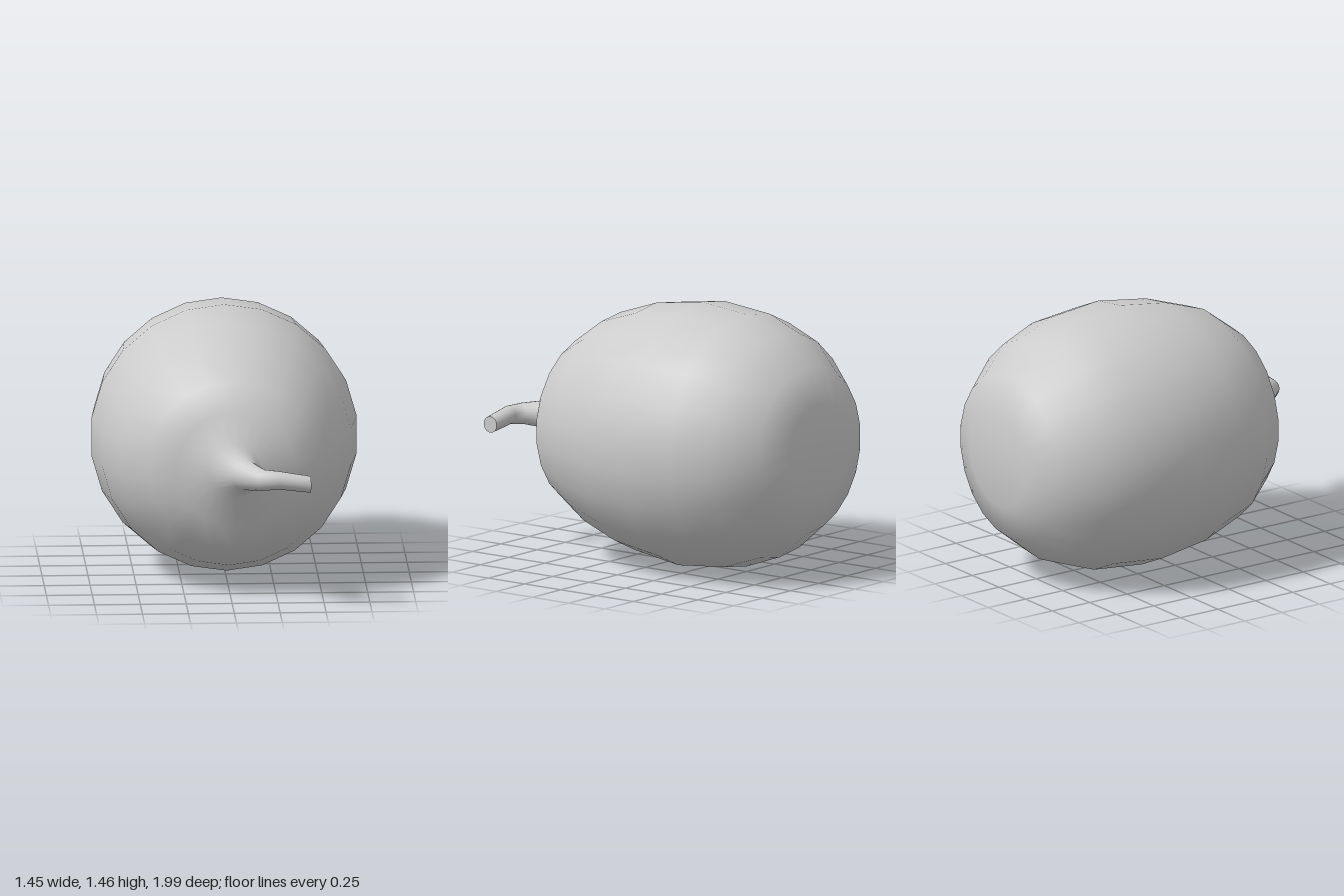
import * as THREE from 'three';

const SIDES = 22;

// Cross-sections from back to stem tip: [x, y, z, radius, yaw towards +x]
const RINGS = [
  [0, 0.73, -1.0, 0, 0],
  [0, 0.73, -1.0, 0.265, 0],
  [0, 0.73, -0.93, 0.46, 0],
  [0, 0.73, -0.73, 0.62, 0],
  [0, 0.73, -0.505, 0.70, 0],
  [0, 0.73, -0.19, 0.73, 0],
  [0, 0.73, 0.12, 0.685, 0],
  [0, 0.73, 0.37, 0.60, 0],
  [0.02, 0.72, 0.56, 0.47, -0.02],
  [0.025, 0.72, 0.65, 0.325, -0.08],
  // flare where the body draws out into the stem
  [0.02, 0.72, 0.685, 0.15, -0.11],
  [0.075, 0.72, 0.79, 0.081, 0.38],
  // bend and straight end of the stem
  [0.16, 0.722, 0.92, 0.058, 1.03],
  [0.25, 0.725, 0.945, 0.05, 1.57],
  [0.42, 0.70, 0.94, 0.045, 1.57],
  // repeated ring keeps the cut end crisp
  [0.42, 0.70, 0.94, 0.045, 1.57],
  [0.42, 0.70, 0.94, 0, 1.57],
];

// Skins the rings into one smooth closed surface
function loft(rings, sides) {
  const positions = [];
  const indices = [];
  rings.forEach(([x, y, z, r, yaw], i) => {
    for (let j = 0; j < sides; j++) {
      const a = (j / sides) * Math.PI * 2;
      const across = r * Math.sin(a);
      positions.push(x + across * Math.cos(yaw), y + r * Math.cos(a), z - across * Math.sin(yaw));
      if (i === rings.length - 1) continue;
      const p = i * sides + j;
      const q = i * sides + ((j + 1) % sides);
      if (rings[i + 1][3] > 0) indices.push(p, p + sides, q + sides);
      if (r > 0) indices.push(p, q + sides, q);
    }
  });
  const geometry = new THREE.BufferGeometry();
  geometry.setAttribute('position', new THREE.Float32BufferAttribute(positions, 3));
  geometry.setIndex(indices);
  geometry.computeVertexNormals();
  return geometry;
}

export function createModel() {
  const group = new THREE.Group();
  group.name = 'fruit';
  const material = new THREE.MeshStandardMaterial({ color: 0xcccccc });

  // Body and bent stem are one continuous skin
  const body = new THREE.Mesh(loft(RINGS, SIDES), material);
  body.name = 'bodyWithStem';
  group.add(body);
  return group;
}
